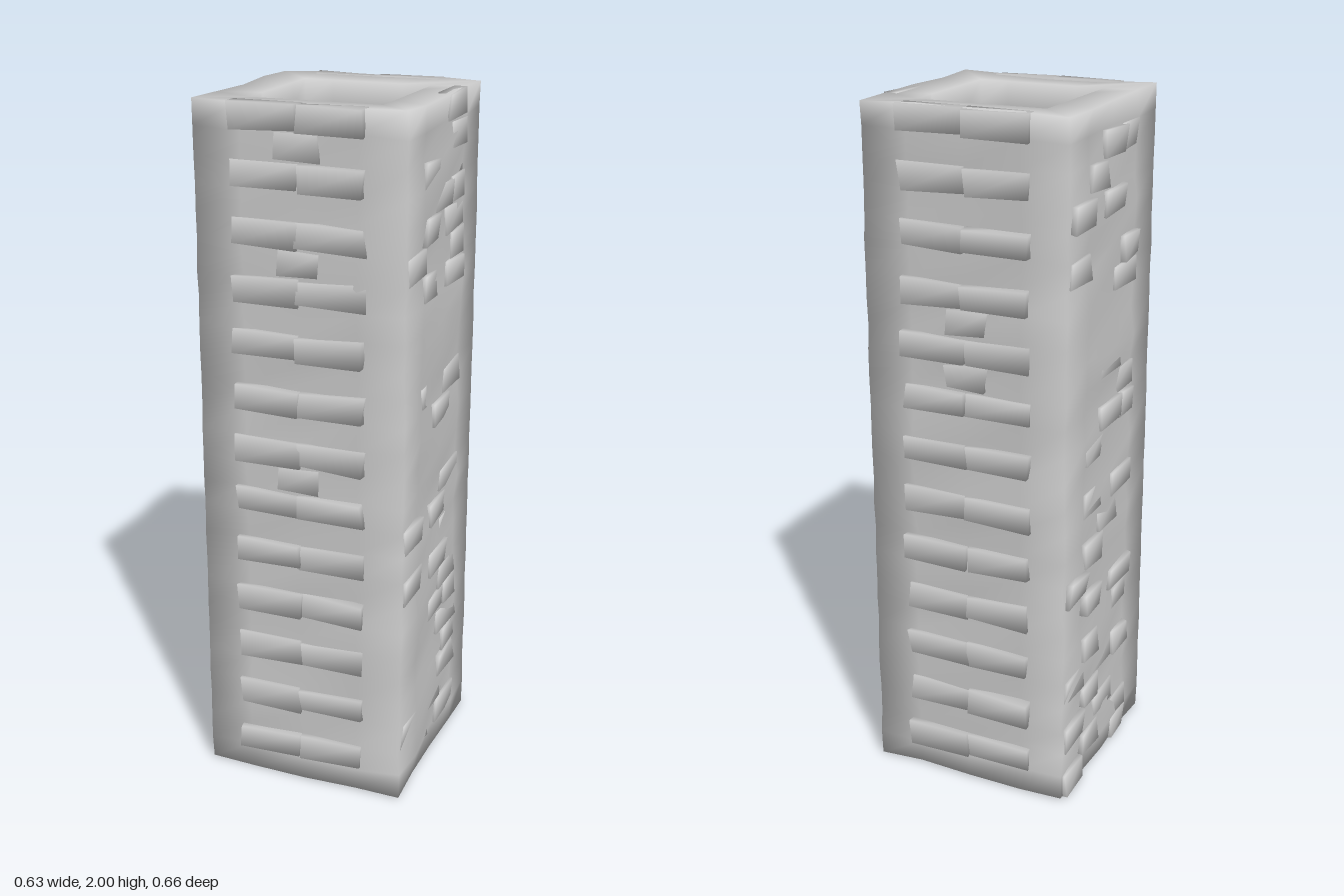
import * as THREE from 'three';
import { mergeVertices, mergeGeometries } from 'three/addons/utils/BufferGeometryUtils.js';

const COURSES = 26, COURSE = 2 / COURSES, HALF = 0.3, INNER = 0.19;

// Small seeded random generator, range -1..1
let seed = 11;
function jitter(a = 1) {
  seed = (seed * 16807) % 2147483647;
  return (seed / 2147483647 * 2 - 1) * a;
}

// One loop round the square: four columns per side, counted from each corner
function squareLoop(half) {
  const loop = [];
  for (let side = 0; side < 4; side++) {
    const a = side * Math.PI / 2, c = Math.round(Math.cos(a)), s = Math.round(Math.sin(a));
    for (const t of [-1, -0.55, 0, 0.55]) {
      const u = t * half;
      loop.push([u * c + half * s, half * c - u * s, s, c, t === -1]);
    }
  }
  return loop;
}

// Hollow shaft: uneven outer courses, plain inner faces, softly shaded
function shaftGeometry() {
  const outer = squareLoop(HALF), inner = squareLoop(INNER), n = outer.length;
  const pos = [], index = [];
  for (let k = 0; k <= COURSES; k++) {
    const end = k === 0 || k === COURSES;
    for (const [x, z, nx, nz, corner] of outer) {
      const d = corner ? jitter(0.004) : jitter(0.008);
      const y = k * COURSE + (k === 0 ? 0.006 + jitter(0.005) : end ? -0.006 + jitter(0.005) : jitter(0.007));
      pos.push(x + nx * d + 0.003, y, z + nz * d);
    }
  }
  for (let k = 0; k <= COURSES; k++) {
    const y = Math.min(1.99, Math.max(0.01, k * COURSE));
    for (const [x, z] of inner) pos.push(x + 0.005, y, z);
  }
  const quad = (a, b, c, d) => index.push(a, b, c, a, c, d);
  const I = (COURSES + 1) * n;
  for (let i = 0; i < n; i++) {
    const j = (i + 1) % n;
    for (let k = 0; k < COURSES; k++) {
      const p = k * n, q = p + n;
      quad(p + i, p + j, q + j, q + i);
      quad(I + p + j, I + p + i, I + q + i, I + q + j);
    }
    const t = COURSES * n;
    quad(t + i, t + j, I + t + j, I + t + i); // top rim
    quad(j, i, I + i, I + j);                 // bottom rim
  }
  const g = new THREE.BufferGeometry();
  g.setAttribute('position', new THREE.Float32BufferAttribute(pos, 3));
  g.setIndex(index);
  g.computeVertexNormals();
  return g;
}

// A rough brick set into the wall, standing proud of it by depth
function brickGeometry(u0, u1, course, depth) {
  let g = new THREE.BoxGeometry(u1 - u0, COURSE * 0.92, 0.06);
  g.deleteAttribute('normal');
  g.deleteAttribute('uv');
  g = mergeVertices(g);
  const p = g.attributes.position;
  for (let i = 0; i < p.count; i++) {
    const front = p.getZ(i) > 0;
    const y = p.getY(i) + (course + 0.5) * COURSE + jitter(0.006);
    p.setXYZ(i,
      p.getX(i) + (u0 + u1) / 2 + jitter(0.008),
      Math.min(1.997, Math.max(0.004, y)),
      front ? HALF + depth + jitter(0.006) : HALF - 0.03);
  }
  g.computeVertexNormals();
  return g;
}

export function createModel() {
  seed = 11;
  const group = new THREE.Group();
  group.name = 'brickChimney';
  const material = new THREE.MeshStandardMaterial({ color: 0xcccccc });

  const shaft = new THREE.Mesh(shaftGeometry(), material);
  shaft.name = 'shaft';
  group.add(shaft);

  // Proud bricks: every other course on front and back, scattered on the sides
  ['frontBricks', 'leftBricks', 'backBricks', 'rightBricks'].forEach((name, side) => {
    const bricks = [];
    for (let k = 0; k < COURSES; k++) {
      const odd = k % 2 === 1;
      if (side % 2 === 0) {
        if (odd) {
          bricks.push(brickGeometry(-0.19, 0, k, 0.016 + jitter(0.007)));
          bricks.push(brickGeometry(0, 0.19, k, 0.016 + jitter(0.007)));
        } else if (jitter() > 0.5) {
          bricks.push(brickGeometry(-0.06, 0.06, k, 0.006));
        }
      } else {
        const spans = odd ? [[-0.16, -0.05], [0.02, 0.17]] : [[-0.28, -0.15], [-0.07, 0.07], [0.06, 0.17]];
        for (const [a, b] of spans) {
          if (jitter() > 0.1) bricks.push(brickGeometry(a, b, k, 0.005 + jitter(0.006)));
        }
      }
    }
    const mesh = new THREE.Mesh(mergeGeometries(bricks), material);
    mesh.name = name;
    mesh.rotation.y = side * Math.PI / 2;
    group.add(mesh);
  });
  return group;
}
